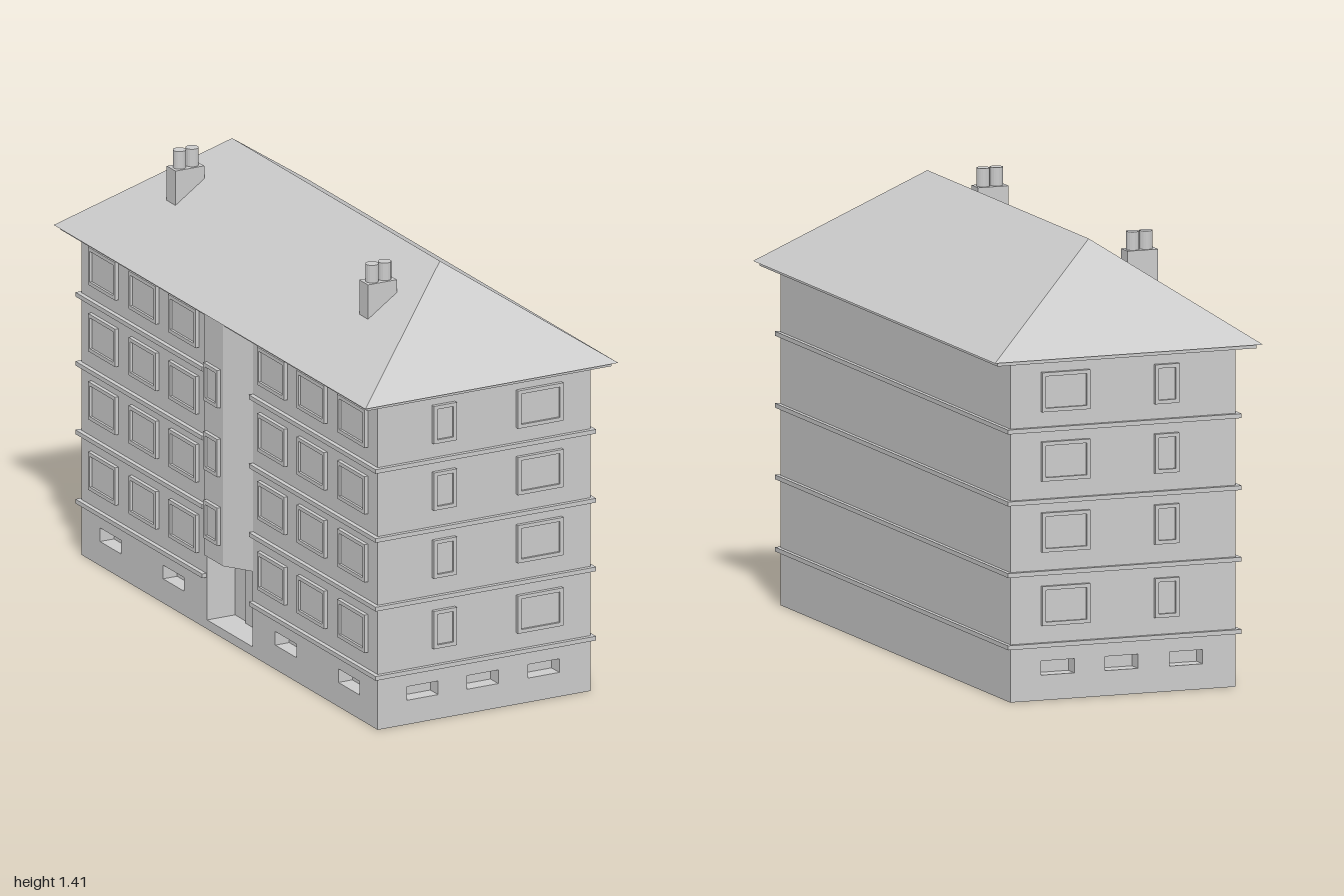
import * as THREE from 'three';

const material = new THREE.MeshStandardMaterial({ color: 0xcccccc, flatShading: true });
const FLOORS = [0.3, 0.533, 0.758, 0.978]; // window centre heights
const WINDOW_H = 0.125;

function add(parent, name, geometry, x = 0, y = 0, z = 0) {
  const mesh = new THREE.Mesh(geometry, material);
  mesh.name = name;
  mesh.position.set(x, y, z);
  parent.add(mesh);
  return mesh;
}

// Box given by its limits
function block(parent, name, x0, x1, y0, y1, z0, z1) {
  return add(parent, name, new THREE.BoxGeometry(x1 - x0, y1 - y0, z1 - z0),
    (x0 + x1) / 2, (y0 + y1) / 2, (z0 + z1) / 2);
}

function rect(target, x0, x1, y0, y1) {
  target.moveTo(x0, y0);
  target.lineTo(x1, y0);
  target.lineTo(x1, y1);
  target.lineTo(x0, y1);
  target.closePath();
  return target;
}

// Panel in the xy plane with rectangular openings, outer face at z = 0
function panel(width, y0, y1, depth, holes) {
  const shape = rect(new THREE.Shape(), -width / 2, width / 2, y0, y1);
  for (const h of holes) shape.holes.push(rect(new THREE.Path(), ...h));
  return new THREE.ExtrudeGeometry(shape, { depth, bevelEnabled: false }).translate(0, 0, -depth);
}

// Raised frame with a set-back pane
function addWindow(parent, x, y, w, h = WINDOW_H) {
  const group = new THREE.Group();
  group.name = 'window';
  group.position.set(x, y, 0);
  const b = 0.012;
  add(group, 'windowFrame', panel(w, -h / 2, h / 2, 0.014,
    [[-w / 2 + b, w / 2 - b, -h / 2 + b, h / 2 - b]]), 0, 0, 0.013);
  add(group, 'windowPane', new THREE.BoxGeometry(w - 2 * b, h - 2 * b, 0.006), 0, 0, 0.002);
  parent.add(group);
}

const basementHoles = (centres, w) => centres.map((x) => [x - w / 2, x + w / 2, 0.08, 0.125]);

// Narrow end wall, facing +z locally
function endWall(name, mirror) {
  const group = new THREE.Group();
  group.name = name;
  add(group, 'endWallPanel', panel(0.76, 0, 1.08, 0.05, basementHoles([-0.22, -0.005, 0.213], 0.112)));
  for (const y of FLOORS) {
    addWindow(group, -0.145 * mirror, y, 0.082);
    addWindow(group, 0.196 * mirror, y, 0.162);
  }
  return group;
}

// Long windowed wall with the entrance opening, facing +z locally
function entranceWall() {
  const group = new THREE.Group();
  group.name = 'entranceWall';
  const cellars = basementHoles([-0.765, -0.36, 0.36, 0.765], 0.135);
  add(group, 'entranceWallPanel', panel(1.8, 0, 1.08, 0.1, [...cellars, [-0.145, 0.145, 0.03, 0.28]]));
  for (const [x0, x1] of cellars) {
    add(group, 'cellarPane', new THREE.BoxGeometry(x1 - x0, 0.045, 0.02), (x0 + x1) / 2, 0.1025, -0.06);
  }
  for (const y of FLOORS) {
    for (const x of [0.285, 0.54, 0.8]) {
      addWindow(group, x, y, 0.175);
      addWindow(group, -x, y, 0.175);
    }
  }
  // Door at the back of the recess
  add(group, 'door', new THREE.BoxGeometry(0.12, 0.2, 0.012), 0, 0.13, -0.096);

  // Stair bay with slanted cheeks
  const plan = new THREE.Shape();
  plan.moveTo(-0.15, 0.01);
  plan.lineTo(0.15, 0.01);
  plan.lineTo(0.15, 0);
  plan.lineTo(0.06, -0.057);
  plan.lineTo(-0.06, -0.057);
  plan.lineTo(-0.15, 0);
  plan.closePath();
  const bay = new THREE.ExtrudeGeometry(plan, { depth: 0.8, bevelEnabled: false });
  bay.rotateX(-Math.PI / 2);
  add(group, 'stairBay', bay, 0, 0.28, 0);
  const bayFront = new THREE.Group();
  bayFront.name = 'stairBayWindows';
  bayFront.position.z = 0.057;
  for (const y of [0.407, 0.634, 0.862]) addWindow(bayFront, 0, y, 0.09);
  group.add(bayFront);
  return group;
}

// Hipped roof from four eave corners and two ridge ends
function hipRoof() {
  const x = 0.452, z = 1, y = 1.088, top = 1.4, r = 0.667;
  const p = [[-x, y, z], [x, y, z], [x, y, -z], [-x, y, -z], [0, top, r], [0, top, -r]];
  const faces = [0, 1, 4, 2, 3, 5, 1, 2, 5, 1, 5, 4, 3, 0, 4, 3, 4, 5, 0, 3, 2, 0, 2, 1];
  const geometry = new THREE.BufferGeometry();
  geometry.setAttribute('position', new THREE.Float32BufferAttribute(faces.flatMap((i) => p[i]), 3));
  geometry.computeVertexNormals();
  return geometry;
}

export function createModel() {
  const model = new THREE.Group();
  model.name = 'apartmentBlock';

  // Walls
  block(model, 'core', -0.28, 0.38, 0, 1.08, -0.9, 0.9);
  const front = endWall('frontWall', 1);
  front.position.z = 0.95;
  const back = endWall('backWall', -1);
  back.rotation.y = Math.PI;
  back.position.z = -0.95;
  const side = entranceWall();
  side.rotation.y = -Math.PI / 2;
  side.position.x = -0.38;
  model.add(front, back, side);

  // String courses, broken at the stair bay
  for (const y of [0.176, 0.405, 0.632, 0.86]) {
    block(model, 'stringCourse', -0.27, 0.393, y - 0.007, y + 0.007, -0.964, 0.964);
    block(model, 'stringCourse', -0.395, -0.27, y - 0.007, y + 0.007, 0.15, 0.964);
    block(model, 'stringCourse', -0.395, -0.27, y - 0.007, y + 0.007, -0.964, -0.15);
  }

  // Eaves and roof
  block(model, 'eaves', -0.437, 0.437, 1.075, 1.087, -0.985, 0.985);
  add(model, 'roof', hipRoof());

  // Chimneys with paired pots
  for (const z of [0.603, -0.633]) {
    const chimney = new THREE.Group();
    chimney.name = 'chimney';
    block(chimney, 'chimneyStack', -0.237, -0.134, 1.2, 1.35, z - 0.028, z + 0.028);
    for (const x of [-0.207, -0.162]) {
      add(chimney, 'chimneyPot', new THREE.CylinderGeometry(0.021, 0.021, 0.06, 16), x, 1.378, z);
    }
    model.add(chimney);
  }
  return model;
}
